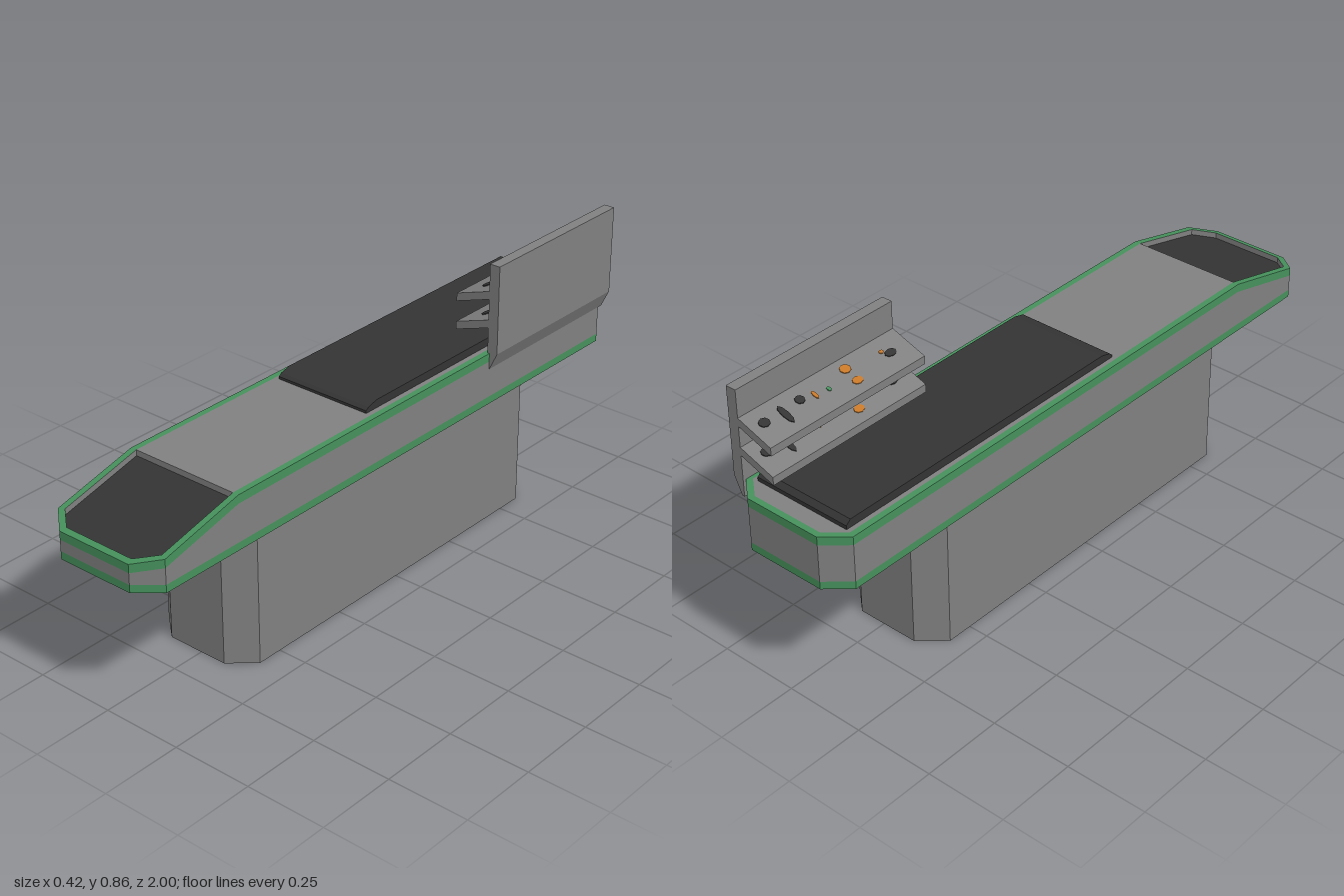
import * as THREE from 'three';

const mat = (name, color) => {
  const m = new THREE.MeshStandardMaterial({ color, flatShading: true });
  m.name = name;
  return m;
};

// Convex plan outline (counterclockwise seen from above) with cut corners, inset by d
function outline(x0, x1, z1, cutL, cutR, cutZ, d = 0) {
  const k = d * 0.4;
  const l = x0 + d, r = x1 - d, z = z1 - d;
  const cl = x0 + cutL + k, cr = x1 - cutR - k, s = z1 - cutZ - k;
  return [[cl, z], [cr, z], [r, s], [r, -s], [cr, -z], [cl, -z], [l, -s], [l, s]];
}

const geo = (pts) => {
  const g = new THREE.BufferGeometry();
  g.setAttribute('position', new THREE.Float32BufferAttribute(pts.flat(), 3));
  g.computeVertexNormals();
  return g;
};

// Band of quads between two closed rings
function strip(a, b) {
  const p = [];
  a.forEach((_, i) => {
    const j = (i + 1) % a.length;
    p.push(a[i], a[j], b[j], a[i], b[j], b[i]);
  });
  return geo(p);
}

// Flat convex cap
function cap(ring, down = false) {
  const p = [];
  for (let i = 1; i < ring.length - 1; i++) {
    if (down) p.push(ring[0], ring[i + 1], ring[i]);
    else p.push(ring[0], ring[i], ring[i + 1]);
  }
  return geo(p);
}

// Cross-section in x/y, extruded along z
function extrudeZ(points, z0, z1) {
  const s = new THREE.Shape(points.map(([x, y]) => new THREE.Vector2(x, y)));
  return new THREE.ExtrudeGeometry(s, { depth: z1 - z0, bevelEnabled: false }).translate(0, 0, z0);
}

export function createModel() {
  const grey = mat('grey panel', 0x808080);
  const dark = mat('dark rubber', 0x343434);
  const green = mat('green trim', 0x46915c);
  const orange = mat('orange goods', 0xc87828);

  const root = new THREE.Group();
  root.name = 'checkoutCounter';
  const add = (name, geometry, material, parent = root) => {
    const m = new THREE.Mesh(geometry, material);
    m.name = name;
    parent.add(m);
    return m;
  };
  const level = (ring, y) => ring.map(([x, z]) => [x, y, z]);

  // Pedestal
  const foot = outline(-0.188, 0.158, 0.645, 0.075, 0.073, 0.065);
  add('pedestalSides', strip(level(foot, 0), level(foot, 0.41)), grey);
  add('pedestalBottom', cap(level(foot, 0), true), grey);

  // Counter body: outline gets an extra pair of points where the nose starts to slope
  const NOSE = 0.67, TOP = 0.575;
  const body = (d) => {
    const o = outline(-0.208, 0.18, 1, 0.068, 0.07, 0.06, d);
    return [o[0], o[1], o[2], [o[2][0], NOSE], ...o.slice(3, 7), [o[7][0], NOSE], o[7]];
  };
  const topY = (z) => TOP - Math.max(0, z - NOSE) / (1 - NOSE) * 0.08;
  const sloped = (ring, drop) => ring.map(([x, z]) => [x, topY(z) - drop, z]);
  const outer = body(0), inner = body(0.019);
  const counter = new THREE.Group();
  counter.name = 'counterBody';
  root.add(counter);
  add('underside', cap(level(inner, 0.41), true), dark, counter);
  add('undersideTrim', strip(level(inner, 0.41), level(outer, 0.41)), green, counter);
  add('lowerTrim', strip(level(outer, 0.41), level(outer, 0.434)), green, counter);
  add('sidePanels', strip(level(outer, 0.434), sloped(outer, 0.026)), grey, counter);
  add('upperTrim', strip(sloped(outer, 0.026), sloped(outer, 0)), green, counter);
  add('topTrim', strip(sloped(outer, 0), sloped(inner, 0)), green, counter);
  add('worktop', cap(level(inner.slice(3, 9), TOP)), grey, counter);

  // Recessed panel in the sloping nose
  const nose = [inner[0], inner[1], inner[2], inner[3], inner[8], inner[9]];
  add('noseRecessWall', strip(sloped(nose, 0), sloped(nose, 0.018)), grey, counter);
  add('nosePanel', cap(sloped(nose, 0.018)), dark, counter);

  // Conveyor belt with bevelled ends, drawn in z/y and turned across the counter
  const belt = extrudeZ([
    [-0.12, 0.57], [0.93, 0.57], [0.93, 0.587], [0.915, 0.6],
    [-0.075, 0.6], [-0.11, 0.591], [-0.12, 0.583],
  ], -0.16, 0.16);
  belt.rotateY(Math.PI / 2).translate(-0.015, 0, 0);
  add('conveyorBelt', belt, dark);

  // Display rack: upright panel and two tilted shelves
  const rack = new THREE.Group();
  rack.name = 'displayRack';
  root.add(rack);
  const Z0 = -0.955, Z1 = -0.39;
  add('rackPanel', extrudeZ([
    [0.173, 0.855], [0.173, 0.525], [0.181, 0.525], [0.207, 0.58], [0.207, 0.855],
  ], Z0, Z1), grey, rack);

  // Small goods lying on each shelf: x, z, width, depth, material
  const goods = [
    [0.125, -0.91, 0.03, 0.035, dark], [0.115, -0.845, 0.065, 0.022, dark],
    [0.13, -0.78, 0.028, 0.03, dark], [0.12, -0.735, 0.03, 0.012, orange],
    [0.115, -0.69, 0.016, 0.012, green], [0.095, -0.605, 0.025, 0.035, orange],
    [0.14, -0.605, 0.03, 0.035, orange], [0.115, -0.46, 0.025, 0.04, dark],
    [0.13, -0.48, 0.012, 0.015, orange],
  ];
  const tilt = Math.atan2(0.04, 0.116);
  for (const [name, y] of [['lowerShelf', 0.64], ['upperShelf', 0.73]]) {
    const shelf = new THREE.Group();
    shelf.name = name;
    rack.add(shelf);
    add(name + 'Board', extrudeZ([
      [0.057, y], [0.057, y - 0.025], [0.174, y + 0.015], [0.174, y + 0.04],
    ], Z0, Z1), grey, shelf);
    for (const [x, z, w, d, m] of goods) {
      const g = add('shelfGoods', new THREE.CylinderGeometry(0.5, 0.5, 0.003, 8), m, shelf);
      g.scale.set(w, 1, d);
      g.rotation.z = tilt;
      g.position.set(x, y + (x - 0.057) * Math.tan(tilt) + 0.001, z);
    }
  }
  return root;
}
